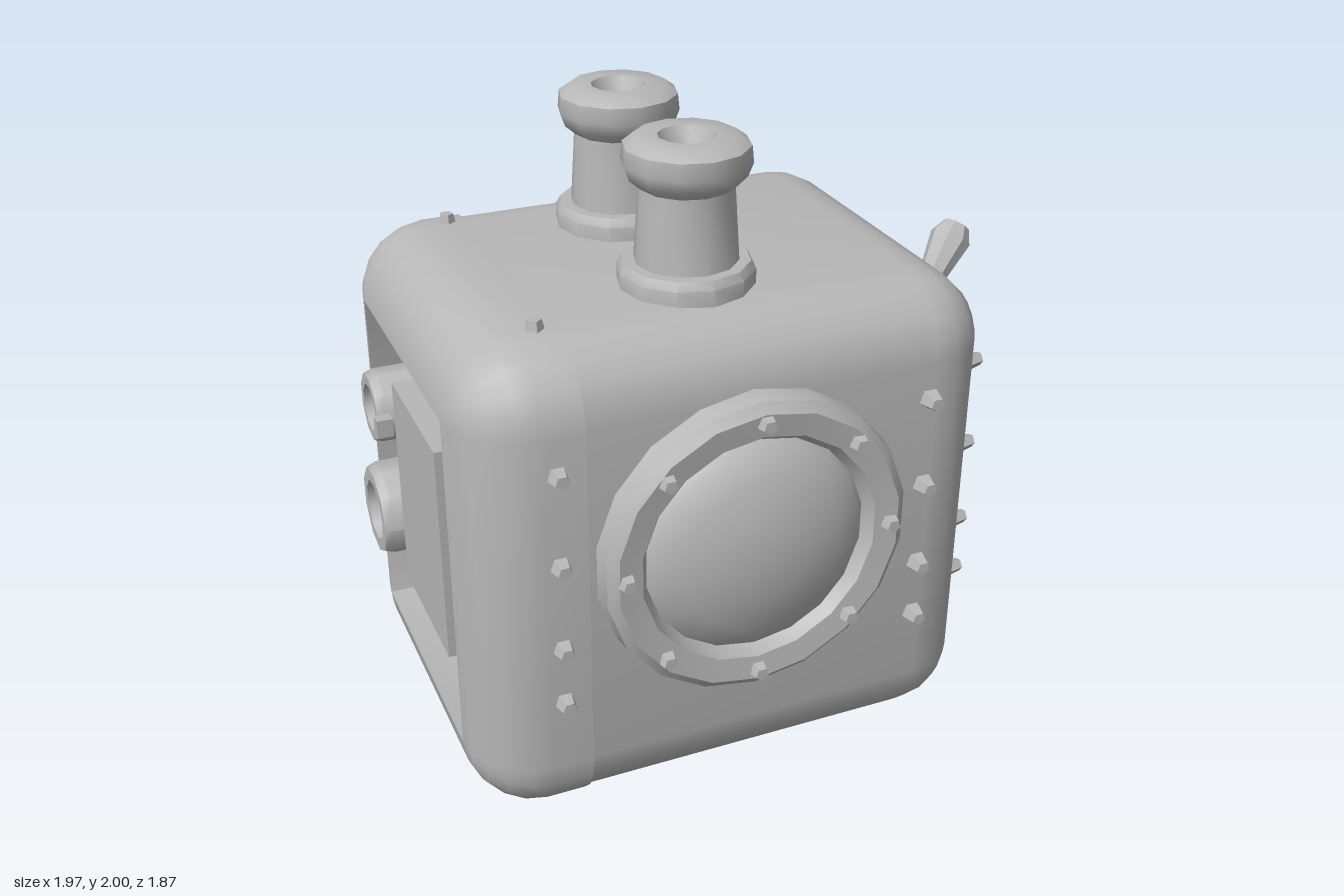
import * as THREE from 'three';
import { toCreasedNormals } from 'three/addons/utils/BufferGeometryUtils.js';

const R = 0.22, HALF_Z = 0.654, HALF_X = 0.832, MID_Y = 0.785, HALF_Y = 0.775;

// Rounded rectangle in the y-z plane, shrunk by an inset
function section(inset, scale) {
  const r = Math.max(R - inset, 0.008), pts = [];
  const cy = HALF_Y - inset - r, cz = HALF_Z - inset - r;
  [[1, 1], [-1, 1], [-1, -1], [1, -1]].forEach(([sy, sz], q) => {
    for (let i = 0; i <= 5; i++) {
      const a = (q + i / 5) * Math.PI / 2;
      pts.push([(sy * cy + r * Math.cos(a)) * scale, (sz * cz + r * Math.sin(a)) * scale]);
    }
  });
  return pts;
}

// Rounded housing with a recess sunk into its -x end
function housing() {
  const rings = [[-0.65, R, 0], [-0.65, R, 1], [-HALF_X, R, 1]];
  for (let i = 1; i <= 5; i++) {
    const a = i / 5 * Math.PI / 2;
    rings.push([-HALF_X + R * (1 - Math.cos(a)), R * (1 - Math.sin(a)) - 0.008 * i / 5, 1]);
  }
  rings.push([-0.49, -0.008, 1], [-0.488, 0, 1]);
  for (let i = 0; i <= 5; i++) {
    const a = i / 5 * Math.PI / 2;
    rings.push([HALF_X - R + R * Math.sin(a), R * (1 - Math.cos(a)), 1]);
  }
  rings.push([HALF_X, R, 0]);
  const pos = [], idx = [], n = 24;
  rings.forEach(([x, inset, scale], k) => {
    section(inset, scale).forEach(([y, z]) => pos.push(x, MID_Y + y, z));
    if (!k) return;
    for (let j = 0; j < n; j++) {
      const a = (k - 1) * n + j, b = (k - 1) * n + (j + 1) % n;
      idx.push(a, b, b + n, a, b + n, a + n);
    }
  });
  const g = new THREE.BufferGeometry();
  g.setAttribute('position', new THREE.Float32BufferAttribute(pos, 3));
  g.setIndex(idx);
  return toCreasedNormals(g, 0.6);
}

const turned = (profile, sides, crease = 0.7) => toCreasedNormals(
  new THREE.LatheGeometry(profile.map(([r, y]) => new THREE.Vector2(r, y)), sides), crease);

export function createModel() {
  const model = new THREE.Group();
  const body = new THREE.Group();
  body.name = 'body';
  body.rotation.y = THREE.MathUtils.degToRad(37);
  model.add(body);
  const grey = new THREE.MeshStandardMaterial({ color: 0xb8b8b8 });
  grey.name = 'grey metal';

  const add = (name, geo, x, y, z, parent = body) => {
    const m = new THREE.Mesh(geo, grey);
    m.name = name;
    m.position.set(x, y, z);
    parent.add(m);
    return m;
  };
  const box = (name, w, h, d, x, y, z) => add(name, new THREE.BoxGeometry(w, h, d), x, y, z);

  // Turn a part made along +y to face a direction
  const UP = new THREE.Vector3(0, 1, 0);
  const face = (m, x, y, z) => {
    m.quaternion.setFromUnitVectors(UP, new THREE.Vector3(x, y, z).normalize());
    return m;
  };

  add('housing', housing(), 0, 0, 0);

  // Two chimneys with flanges and hollow caps
  const chimney = turned([[0.205, 0], [0.205, 0.05], [0.19, 0.075], [0.155, 0.075], [0.14, 0.3],
    [0.175, 0.33], [0.19, 0.37], [0.185, 0.42], [0.15, 0.445], [0.085, 0.445], [0.06, 0.39], [0, 0.39]], 12);
  for (const s of [-1, 1]) add('chimney', chimney, -0.027, 1.555, s * 0.265);

  // Domed portholes on the two broad faces, with studs round the rims
  const rim = turned([[0.49, -0.02], [0.48, 0.06], [0.45, 0.085], [0.375, 0.075], [0.345, 0.03]], 18);
  const dome = turned([[0.355, 0.03], [0.33, 0.06], [0.25, 0.1], [0.13, 0.13], [0, 0.14]], 18);
  const stud = new THREE.CylinderGeometry(0.022, 0.036, 0.06, 5).toNonIndexed();
  stud.computeVertexNormals();
  const rows = [0.47, 0.66, 0.94, 1.23];
  for (const s of [-1, 1]) {
    face(add('portholeRim', rim, 0.015, 0.885, s * HALF_Z), 0, 0, s);
    face(add('portholeDome', dome, 0.015, 0.885, s * HALF_Z), 0, 0, s);
    for (let i = 0; i < 8; i++) {
      const a = i * Math.PI / 4;
      face(add('rimStud', stud, 0.015 + 0.42 * Math.cos(a), 0.885 + 0.42 * Math.sin(a),
        s * (HALF_Z + 0.08)), 0, 0, s);
    }
    // Stud columns beside the portholes and on the lever side
    for (const y of rows) {
      for (const x of [-0.575, 0.59]) face(add('stud', stud, x, y, s * (HALF_Z + 0.02)), 0, 0, s);
      face(add('stud', stud, HALF_X + 0.01, y, s * 0.48), 1, 0, 0);
    }
    face(add('topStud', stud, -0.55, 1.565, s * 0.43), 0, 1, 0);
  }
  box('sideStrip', 0.03, 0.72, 0.1, HALF_X - 0.002, 0.93, -0.45);

  // Pipe socket on the lever side
  face(add('socket', turned([[0.31, -0.02], [0.29, 0.03], [0.235, 0.045], [0.225, 0.02], [0.2, 0.02],
    [0.205, 0.11], [0.19, 0.125], [0.15, 0.125], [0.125, 0.06], [0, 0.06]], 10), HALF_X, 0.52, 0.02), 1, 0, 0);

  // Lever: ball, rod and grip
  const lever = new THREE.Group();
  lever.name = 'lever';
  lever.position.set(0.875, 1.12, 0.03);
  face(lever, 0.22, 0.28, -0.1);
  body.add(lever);
  add('leverBall', toCreasedNormals(new THREE.SphereGeometry(0.08, 8, 6), 0.8), 0, 0, 0, lever);
  add('leverRod', new THREE.CylinderGeometry(0.03, 0.03, 0.2, 8), 0, 0.13, 0, lever);
  add('leverGrip', turned([[0, 0.17], [0.04, 0.18], [0.07, 0.36], [0.045, 0.41], [0, 0.42]], 8),
    0, 0, 0, lever);

  // Machinery in the recess
  box('controlBox', 0.2, 0.7, 0.47, -0.745, 0.87, 0.155);
  box('controlBoxLid', 0.12, 0.06, 0.34, -0.72, 1.265, 0.2);
  box('recessBar', 0.06, 0.28, 0.05, -0.7, 0.36, -0.05);
  box('recessBracket', 0.05, 0.3, 0.04, -0.68, 0.37, 0.02);
  const pipe = r => turned([[r, 0], [r, 0.22], [r * 0.92, 0.25], [r * 0.65, 0.25], [r * 0.55, 0.17], [0, 0.17]], 9);
  face(add('lowerPipe', pipe(0.155), -0.645, 0.675, -0.27), -1, 0, 0);
  face(add('upperPipe', pipe(0.12), -0.63, 1.05, -0.27), -1, 0, 0);
  box('pipeTap', 0.05, 0.06, 0.04, -0.87, 1.05, -0.13);

  return model;
}
